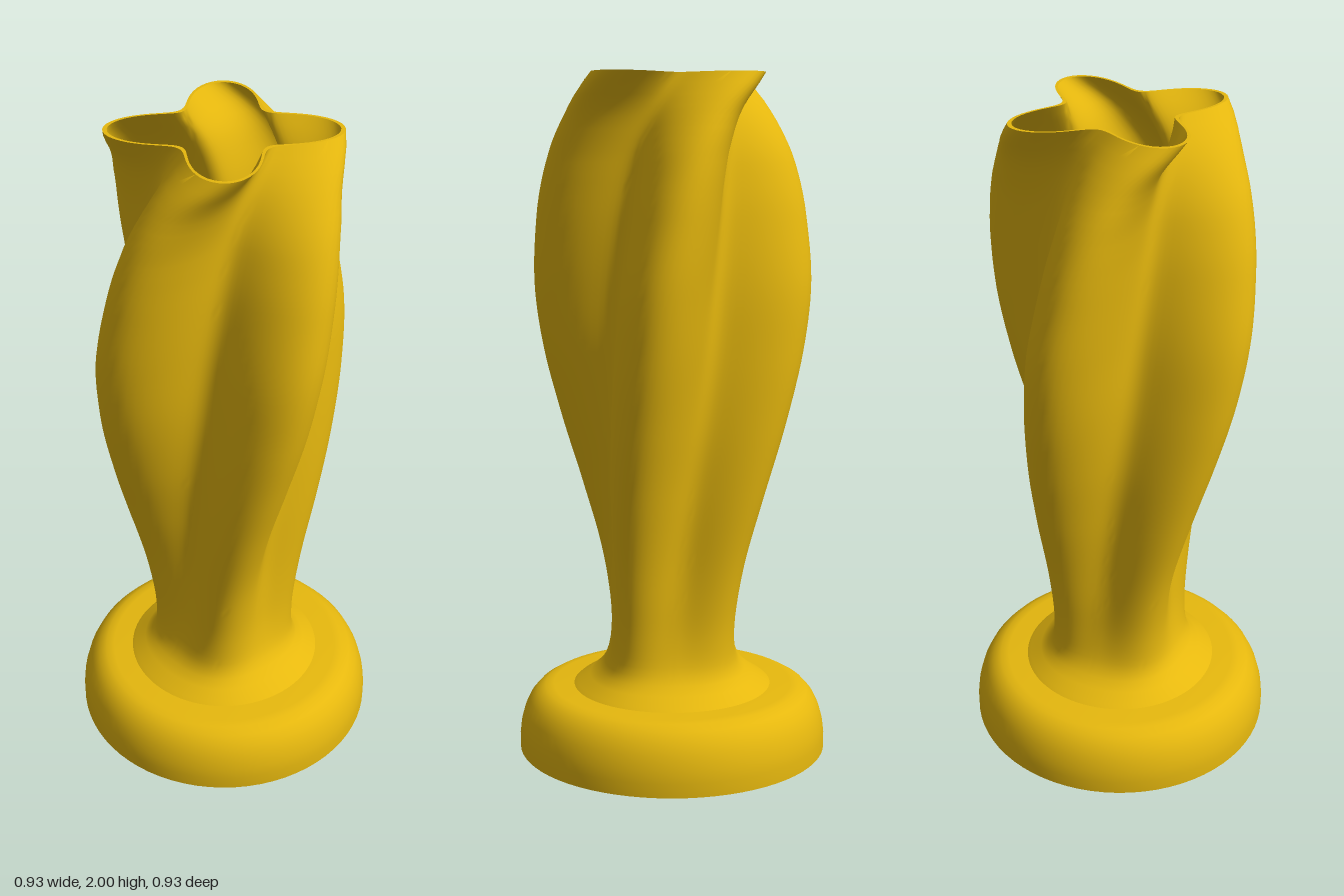
import * as THREE from 'three';
import { toCreasedNormals } from 'three/addons/utils/BufferGeometryUtils.js';

const SEGMENTS = 120;
const RINGS = 64;
const WALL = 0.012;

// Sections from foot to rim: height, ridge radius, valley radius, ridge angle (degrees)
const SECTIONS = [
  [0.18, 0.31, 0.31, 136], [0.2, 0.288, 0.285, 135.5], [0.23, 0.245, 0.235, 135],
  [0.27, 0.222, 0.202, 134], [0.35, 0.217, 0.18, 132], [0.45, 0.225, 0.17, 129],
  [0.6, 0.25, 0.168, 124], [0.8, 0.298, 0.182, 116], [1.0, 0.347, 0.2, 108],
  [1.2, 0.388, 0.21, 101], [1.4, 0.408, 0.21, 95], [1.6, 0.395, 0.203, 87],
  [1.7, 0.38, 0.196, 82], [1.8, 0.357, 0.188, 75], [1.9, 0.328, 0.177, 62],
  [2.0, 0.318, 0.167, 39],
];

// Smoothly interpolated section at a height
function sectionAt(y) {
  let k = 0;
  while (k < SECTIONS.length - 2 && SECTIONS[k + 1][0] < y) k++;
  const a = SECTIONS[k], b = SECTIONS[k + 1];
  const p = SECTIONS[Math.max(k - 1, 0)], n = SECTIONS[Math.min(k + 2, SECTIONS.length - 1)];
  const h = b[0] - a[0], t = (y - a[0]) / h;
  const value = (c) => {
    const m0 = (b[c] - p[c]) / (b[0] - p[0]) * h;
    const m1 = (n[c] - a[c]) / (n[0] - a[0]) * h;
    return a[c] * (1 + 2 * t) * (1 - t) ** 2 + m0 * t * (1 - t) ** 2
      + b[c] * t * t * (3 - 2 * t) + m1 * t * t * (t - 1);
  };
  return { ridge: value(1), valley: value(2), turn: THREE.MathUtils.degToRad(value(3)) };
}

// Four-lobed twisted ring of points
function lobedRing(y, inset, scale = 1) {
  const { ridge, valley, turn } = sectionAt(y);
  const ring = [];
  for (let j = 0; j <= SEGMENTS; j++) {
    const a = (j % SEGMENTS) / SEGMENTS * Math.PI * 2;
    const w = Math.pow((1 + Math.cos(4 * a)) / 2, 1.1);
    const r = (valley + (ridge - valley) * w - inset) * scale;
    ring.push([r * Math.cos(a + turn), y, r * Math.sin(a + turn)]);
  }
  return ring;
}

function loft(rings) {
  const index = [];
  const row = SEGMENTS + 1;
  for (let i = 0; i < rings.length - 1; i++) {
    for (let j = 0; j < SEGMENTS; j++) {
      const a = i * row + j, b = a + row;
      index.push(a, b, a + 1, b, b + 1, a + 1);
    }
  }
  const geometry = new THREE.BufferGeometry();
  geometry.setAttribute('position', new THREE.Float32BufferAttribute(rings.flat(2), 3));
  geometry.setIndex(index);
  geometry.computeVertexNormals();
  return toCreasedNormals(geometry, 0.8);
}

export function createModel() {
  const group = new THREE.Group();
  group.name = 'twistedVase';
  const gold = new THREE.MeshStandardMaterial({ color: 0xe6b80e });

  // Round foot with a softened upper edge
  const profile = [[0, 0], [0.463, 0], [0.463, 0.04], [0.459, 0.075], [0.448, 0.115],
    [0.432, 0.148], [0.41, 0.173], [0.385, 0.187], [0.36, 0.19], [0, 0.19]]
    .map(([x, y]) => new THREE.Vector2(x, y));
  const foot = new THREE.Mesh(toCreasedNormals(new THREE.LatheGeometry(profile, 72), 0.7), gold);
  foot.name = 'foot';
  group.add(foot);

  // Hollow body: outer wall up, over the rim, inner wall down, then the floor
  const rings = [];
  for (let i = 0; i <= RINGS; i++) {
    rings.push(lobedRing(0.18 + 1.82 * (i / RINGS) ** 1.1, 0));
  }
  const floorY = 0.28;
  for (let i = RINGS; i >= 0; i--) rings.push(lobedRing(floorY + (2 - floorY) * i / RINGS, WALL));
  rings.push(lobedRing(floorY, WALL, 0));
  const body = new THREE.Mesh(loft(rings), gold);
  body.name = 'twistedBody';
  group.add(body);

  return group;
}
